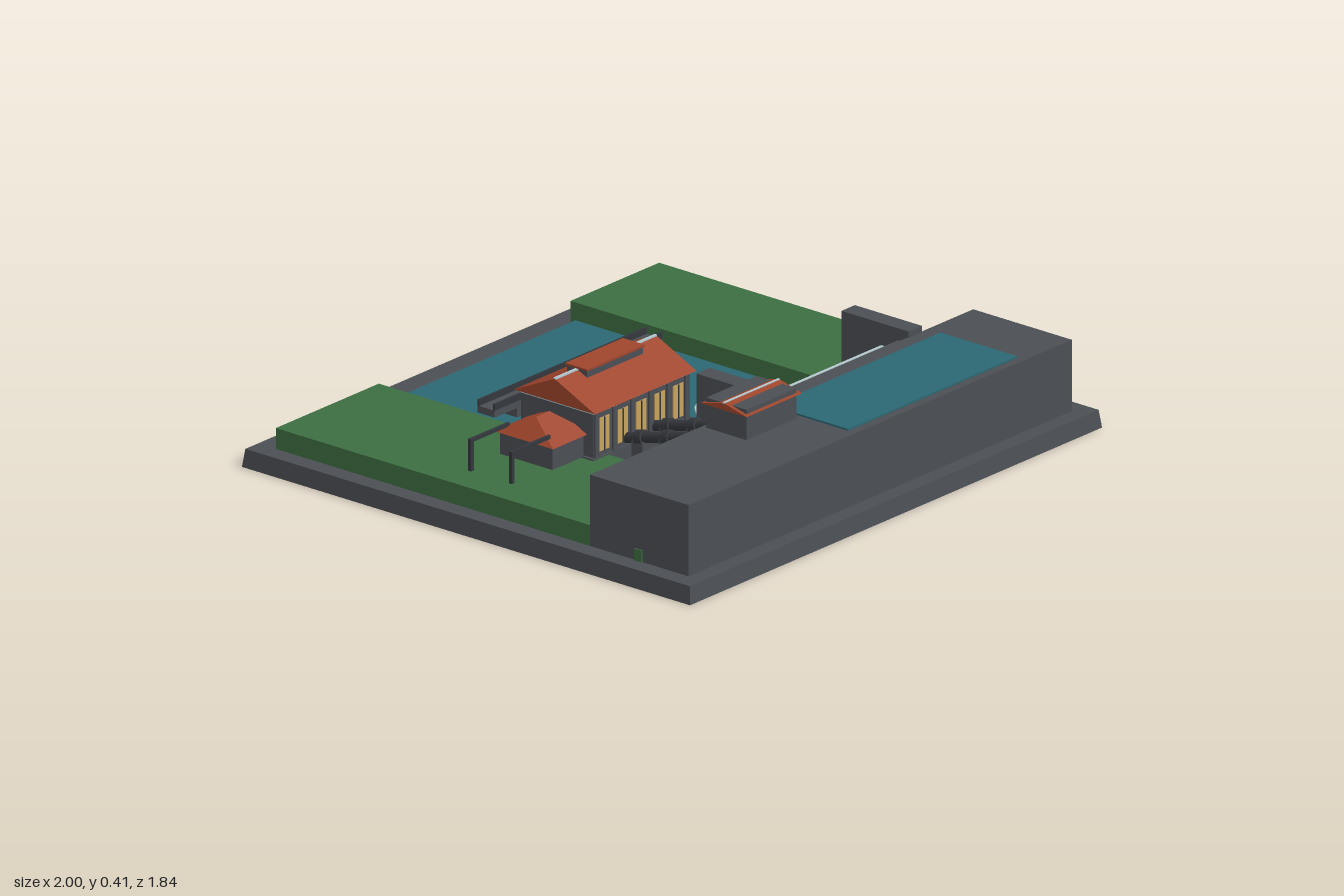
import * as THREE from 'three';

const mat = (name, color, extra = {}) => Object.assign(new THREE.MeshStandardMaterial({ color, ...extra }), { name });

export function createModel() {
  const concrete = mat('concrete', 0x4b4e54);
  const metal = mat('dark metal', 0x34373c);
  const grass = mat('grass', 0x3d6e42);
  const water = mat('water', 0x2b6873);
  const foam = mat('foam', 0xb4c9ce);
  const roofRed = mat('roof tile', 0x9f452c);
  const glow = mat('lit window', 0xc9a45e);

  const model = new THREE.Group();
  model.name = 'hydroDam';

  const add = (name, geometry, material, parent = model) => {
    const mesh = new THREE.Mesh(geometry, material);
    mesh.name = name;
    parent.add(mesh);
    return mesh;
  };
  // Box given by its minimum and maximum on each axis
  const box = (name, material, [x0, x1], [y0, y1], [z0, z1], parent = model) => {
    const g = new THREE.BoxGeometry(x1 - x0, y1 - y0, z1 - z0);
    g.translate((x0 + x1) / 2, (y0 + y1) / 2, (z0 + z1) / 2);
    return add(name, g, material, parent);
  };
  // Roof whose ridge runs along x; inset 0 gives gables, more gives hips
  const roof = (name, [x0, x1], [y0, y1], [z0, z1], inset, parent) => {
    const g = new THREE.BoxGeometry(1, 1, 1).toNonIndexed();
    const p = g.attributes.position;
    for (let i = 0; i < p.count; i++) {
      const top = p.getY(i) > 0;
      const dx = top ? inset : 0;
      p.setXYZ(i, p.getX(i) < 0 ? x0 + dx : x1 - dx, top ? y1 : y0,
        top ? (z0 + z1) / 2 : p.getZ(i) < 0 ? z0 : z1);
    }
    g.computeVertexNormals();
    return add(name, g, roofRed, parent);
  };
  const group = (name) => {
    const g = new THREE.Group();
    g.name = name;
    model.add(g);
    return g;
  };

  // Base slab, slightly narrower at the top
  const slab = new THREE.BoxGeometry(2, 0.06, 1.84).toNonIndexed();
  const sp = slab.attributes.position;
  for (let i = 0; i < sp.count; i++) {
    if (sp.getY(i) > 0) sp.setXYZ(i, sp.getX(i) * 0.992, sp.getY(i), sp.getZ(i) * 0.992);
  }
  slab.computeVertexNormals();
  add('baseSlab', slab.translate(0, 0.03, 0), concrete);

  // Banks, river, dam wall and reservoir
  box('rightBank', grass, [-0.93, -0.43], [0.06, 0.13], [-0.84, 0.45]);
  box('leftBank', grass, [0.5, 0.93], [0.06, 0.13], [-0.84, 0.45]);
  box('river', water, [-0.395, 0.5], [0.06, 0.07], [-0.82, 0.2]);
  box('damWall', concrete, [-0.93, 0.93], [0.06, 0.3], [0.45, 0.855]);
  box('reservoir', water, [-0.12, 0.7], [0.3, 0.306], [0.51, 0.825]);
  for (const s of [-1, 1]) {
    box('grassTuft', grass, [s * 0.932 - 0.003, s * 0.932 + 0.003], [0.06, 0.1], [0.635, 0.665]);
  }

  // Stepped spillway with water sheets between two side walls
  const spillway = group('spillway');
  const pitch = 0.037;
  for (let i = 0; i < 7; i++) {
    const z = 0.19 + i * pitch;
    const top = 0.102 + i * 0.03;
    box('spillwayStep', concrete, [-0.03, 0.61], [0.06, top], [z, z + pitch + 0.002], spillway);
    if (i < 6) {
      box('waterSheet', foam, [0.04, 0.54], [Math.max(0.06, top - 0.03), top + 0.008], [z - 0.01, z + pitch - 0.009], spillway);
    }
  }
  box('topWaterSheet', foam, [0.04, 0.54], [0.25, 0.284], [0.402, 0.413], spillway);
  for (const x of [-0.095, 0.61]) {
    box('spillwayWall', concrete, [x, x + 0.065], [0.06, 0.322], [0.18, 0.455], spillway);
  }
  const pool = new THREE.CylinderGeometry(1, 1, 0.008, 20);
  pool.scale(0.22, 1, 0.235).translate(0.285, 0.074, 0.15);
  add('foamPool', pool, foam);

  // Footbridge over the river
  const bridge = group('footbridge');
  box('deck', concrete, [-0.37, 0.445], [0.105, 0.128], [-0.485, -0.415], bridge);
  for (const z of [-0.482, -0.418]) {
    box('deckRail', metal, [-0.37, 0.445], [0.128, 0.15], [z - 0.003, z + 0.003], bridge);
  }
  for (const x of [-0.235, 0.04, 0.31]) {
    box('pier', concrete, [x - 0.02, x + 0.02], [0.06, 0.105], [-0.492, -0.42], bridge);
  }

  // Powerhouse hall
  const hall = group('powerhouse');
  box('plinth', concrete, [-0.505, -0.025], [0.06, 0.135], [-0.203, 0.104], hall);
  box('hallWalls', concrete, [-0.495, -0.035], [0.135, 0.284], [-0.195, 0.096], hall);
  box('cornice', foam, [-0.5, -0.03], [0.284, 0.292], [-0.202, 0.103], hall);
  roof('hallRoof', [-0.51, -0.018], [0.292, 0.37], [-0.218, 0.116], 0, hall);
  box('ridgeCap', foam, [-0.51, -0.018], [0.366, 0.373], [-0.056, -0.046], hall);
  box('roofVent', concrete, [-0.4, -0.13], [0.33, 0.374], [-0.092, -0.01], hall);
  box('roofVentCap', roofRed, [-0.405, -0.125], [0.374, 0.381], [-0.096, -0.006], hall);
  for (const [wall, out] of [[-0.195, -1], [0.096, 1]]) {
    for (let i = 0; i < 5; i++) {
      const x = -0.445 + i * 0.09;
      const zs = [wall - 0.003, wall + 0.003];
      box('window', glow, [x - 0.025, x + 0.025], [0.15, 0.262], zs, hall);
      box('windowBar', metal, [x - 0.002, x + 0.002], [0.15, 0.262], zs.map((z) => z + out * 0.002), hall);
    }
    for (let i = 0; i < 6; i++) {
      const x = -0.483 + i * 0.0876;
      box('pilaster', concrete, [x - 0.01, x + 0.01], [0.135, 0.284], [wall - 0.007, wall + 0.007], hall);
    }
  }
  // Tailrace outlets below the end wall
  for (const z of [-0.145, -0.052, 0.04]) {
    box('outlet', metal, [-0.028, -0.022], [0.07, 0.122], [z - 0.028, z + 0.028], hall);
    box('outletFoam', foam, [-0.024, 0], [0.07, 0.08], [z - 0.025, z + 0.025], hall);
  }

  // Annex with hipped roof and two cable frames
  const annex = group('annex');
  box('annexWalls', concrete, [-0.645, -0.49], [0.13, 0.21], [-0.16, 0.055], annex);
  roof('annexRoof', [-0.66, -0.47], [0.208, 0.268], [-0.175, 0.07], 0.062, annex);
  for (const z of [-0.138, 0.03]) {
    box('framePost', metal, [-0.82, -0.806], [0.13, 0.235], [z - 0.006, z + 0.006], annex);
    box('frameBeam', metal, [-0.82, -0.63], [0.226, 0.238], [z - 0.005, z + 0.005], annex);
  }

  // Penstocks with collars on saddle blocks
  const penstocks = group('penstocks');
  const slope = Math.atan2(0.09, 0.35);
  const pipeY = (z) => 0.158 + (z - 0.1) * (0.09 / 0.35);
  const pipe = (name, x, z, radius, length) => {
    const m = add(name, new THREE.CylinderGeometry(radius, radius, length, 12), metal, penstocks);
    m.position.set(x, pipeY(z), z);
    m.rotation.x = Math.PI / 2 - slope;
  };
  for (const x of [-0.333, -0.2]) {
    pipe('penstock', x, 0.275, 0.018, 0.375);
    for (const z of [0.155, 0.265, 0.38]) {
      pipe('collar', x, z, 0.025, 0.03);
      box('saddle', concrete, [x - 0.02, x + 0.02], [0.06, pipeY(z) - 0.008], [z - 0.022, z + 0.022], penstocks);
    }
  }

  // Gatehouse on the dam crest, its walls rising through the low roof
  const gate = group('gatehouse');
  box('gatehouseWalls', concrete, [-0.387, -0.143], [0.3, 0.402], [0.468, 0.633], gate);
  roof('gatehouseRoof', [-0.4, -0.13], [0.384, 0.408], [0.455, 0.645], 0, gate);
  box('gatehouseRidge', foam, [-0.4, -0.13], [0.405, 0.41], [0.546, 0.554], gate);

  return model;
}
